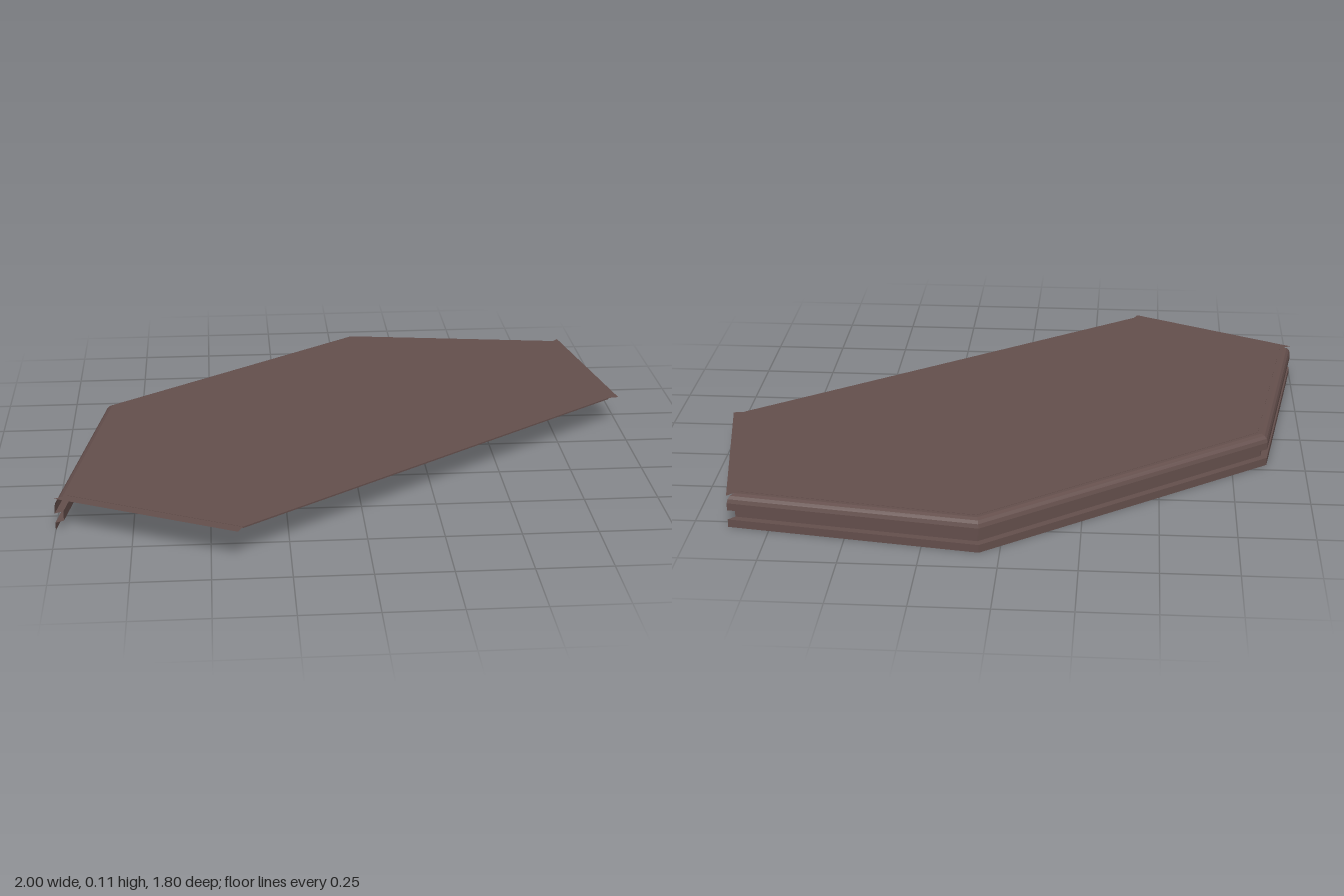
import * as THREE from 'three';

// Plan outline [x, z], running around the edge from one end of the open side to the other
const OUTLINE = [[-0.415, 0.9], [-1, 0.61], [-0.87, -0.21], [0.065, -0.905], [0.885, -0.785], [0.995, -0.14]];
const BORDER = 0.037;
const TOP = 0.112;

// Edge moulding section [inset, y]: plinth, groove, fascia and rounded shoulder
const SECTION = [
  [0, 0], [0, 0.027], [0.024, 0.027], [0.024, 0.06], [0, 0.06],
  [0, 0.085], [0.004, 0.098], [0.012, 0.107], [0.024, TOP], [BORDER, TOP],
];

// Outline moved inward with mitred corners
function insetOutline(amount) {
  const pts = OUTLINE.map(([x, z]) => new THREE.Vector2(x, z));
  const normals = pts.slice(1).map((p, i) => {
    const d = p.clone().sub(pts[i]).normalize();
    return new THREE.Vector2(-d.y, d.x);
  });
  return pts.map((p, i) => {
    const a = normals[Math.max(i - 1, 0)];
    const b = normals[Math.min(i, normals.length - 1)];
    return p.clone().addScaledVector(a.clone().add(b), amount / (1 + a.dot(b)));
  });
}

// Sheet swept along outline points first..last with the given section
function sweep(section, first, last) {
  const rows = section.map(([inset, y]) => insetOutline(inset).map((p) => [p.x, y, p.y]));
  const pos = [];
  for (let j = 0; j < rows.length - 1; j++) {
    for (let i = first; i < last; i++) {
      const a = rows[j][i], b = rows[j + 1][i], c = rows[j][i + 1], d = rows[j + 1][i + 1];
      pos.push(...a, ...b, ...c, ...b, ...d, ...c);
    }
  }
  const geo = new THREE.BufferGeometry();
  geo.setAttribute('position', new THREE.Float32BufferAttribute(pos, 3));
  geo.computeVertexNormals();
  return geo;
}

export function createModel() {
  const group = new THREE.Group();
  group.name = 'angledTop';
  const material = new THREE.MeshStandardMaterial({ color: 0x644f4c, side: THREE.DoubleSide, flatShading: true });
  const add = (name, geometry) => {
    const mesh = new THREE.Mesh(geometry, material);
    mesh.name = name;
    group.add(mesh);
  };

  // Thin central panel
  const shape = new THREE.Shape(insetOutline(BORDER).map((p) => new THREE.Vector2(p.x, -p.y)));
  const panel = new THREE.ExtrudeGeometry(shape, { depth: 0.005, bevelEnabled: false });
  panel.rotateX(-Math.PI / 2).translate(0, TOP - 0.004, 0);
  add('topPanel', panel);

  // Grooved moulding on the three outer edges
  add('edgeMoulding', sweep(SECTION, 1, 4));

  // Flat borders on the two short ends
  const flat = [[0, TOP], [BORDER, TOP]];
  add('leftEndBorder', sweep(flat, 4, 5));
  add('rightEndBorder', sweep(flat, 0, 1));

  return group;
}
